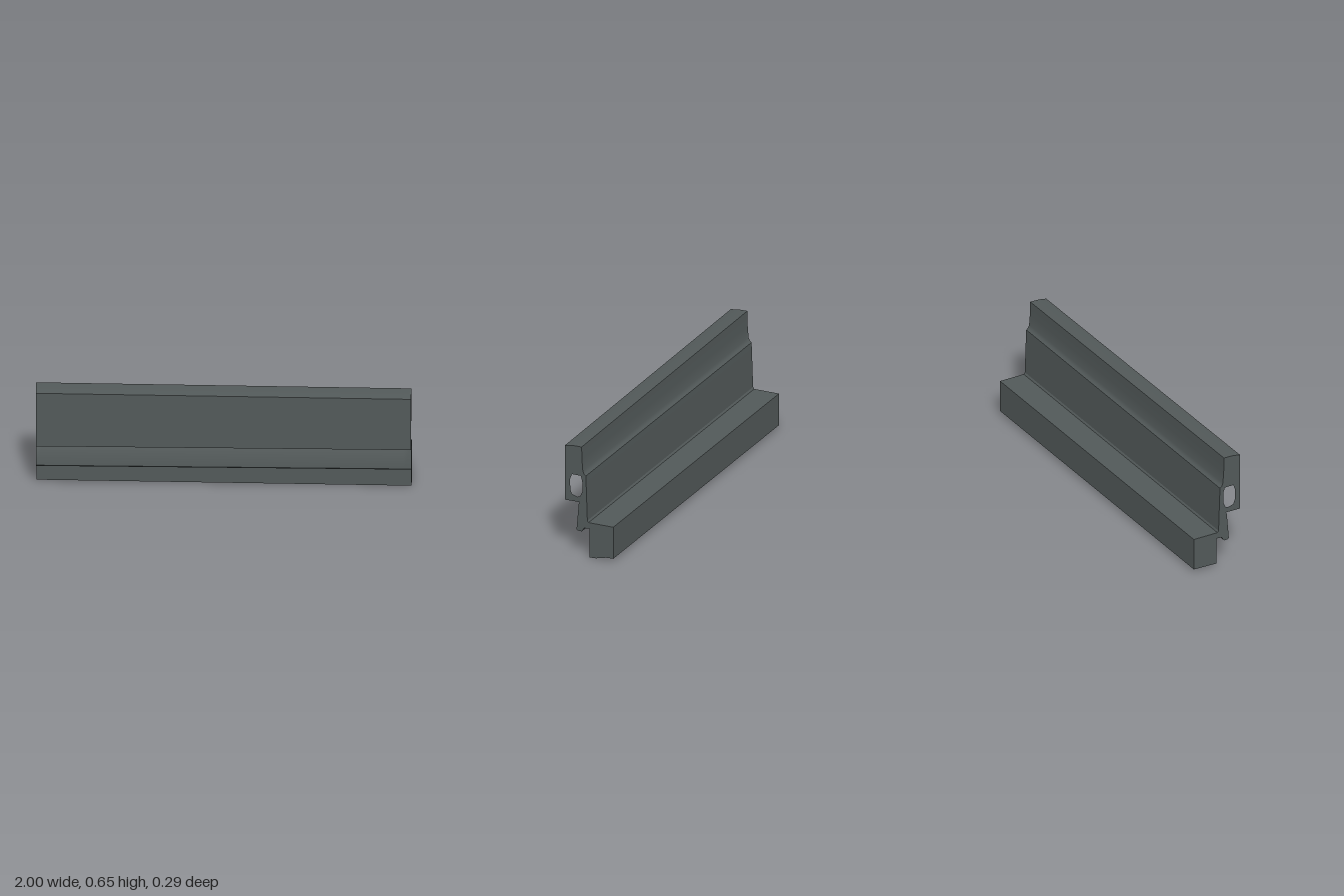
import * as THREE from 'three';
import { toCreasedNormals } from 'three/addons/utils/BufferGeometryUtils.js';

// Cross-section corners as [z, y]
const OUTLINE = [
  [0.143, 0.309], [0.144, 0.631], [0.1, 0.639], [0.045, 0.64], // upper block
  [0.043, 0.56], [0.038, 0.495], [0.031, 0.478], [0.02, 0.469], // shoulder at the back
  [0.018, 0.42], [0.014, 0.3], [0.011, 0.212], [0.004, 0.202], // web
  [-0.143, 0.203], [-0.143, 0.02], [-0.1, 0.018], [-0.04, 0.003], [-0.003, 0.001], // foot block
  [-0.002, 0.168], [0.03, 0.165], [0.045, 0.143], [0.07, 0.144], [0.075, 0.151], // drip lip
  [0.062, 0.3], [0.056, 0.311],
];
const HOLE = [
  [0.098, 0.455], [0.055, 0.455], [0.048, 0.43], [0.047, 0.38],
  [0.058, 0.355], [0.07, 0.35], [0.098, 0.358], [0.106, 0.38], [0.107, 0.43],
];

// The extrusion is turned so its length runs along x
const toPoints = (list) => list.map(([z, y]) => new THREE.Vector2(-z, y));

export function createModel() {
  const group = new THREE.Group();
  group.name = 'profiledBeam';
  const darkGrey = new THREE.MeshStandardMaterial({ color: 0x525959 });
  darkGrey.name = 'darkGrey';

  const shape = new THREE.Shape(toPoints(OUTLINE));
  shape.holes.push(new THREE.Path(toPoints(HOLE)));
  const geometry = new THREE.ExtrudeGeometry(shape, { depth: 2, steps: 3, bevelEnabled: false });
  geometry.translate(0, 0, -1).rotateY(Math.PI / 2);

  const p = geometry.attributes.position;
  for (let i = 0; i < p.count; i++) {
    let x = p.getX(i), y = p.getY(i), z = p.getZ(i);
    const atEnd = Math.abs(x) > 0.9;
    if (!atEnd) x = Math.sign(x) * 0.96;
    // Flare the channel at both mouths
    const inChannel = z > 0.046 && z < 0.11 && y > 0.345 && y < 0.46;
    if (inChannel && atEnd) {
      z = 0.078 + (z - 0.078) * 1.22;
      y = 0.405 + (y - 0.405) * 1.2;
    }
    // Slight lengthwise slope of the top and of the foot's lower front edge
    if (y > 0.6) y -= 0.007 * x;
    if (y < 0.01) y += 0.007 * (1 - x);
    p.setXYZ(i, x, y, z);
  }

  const beam = new THREE.Mesh(toCreasedNormals(geometry, 0.5), darkGrey);
  beam.name = 'beam';
  group.add(beam);

  // Rest on the ground
  const box = new THREE.Box3().setFromObject(group);
  beam.position.y = -box.min.y;
  return group;
}
